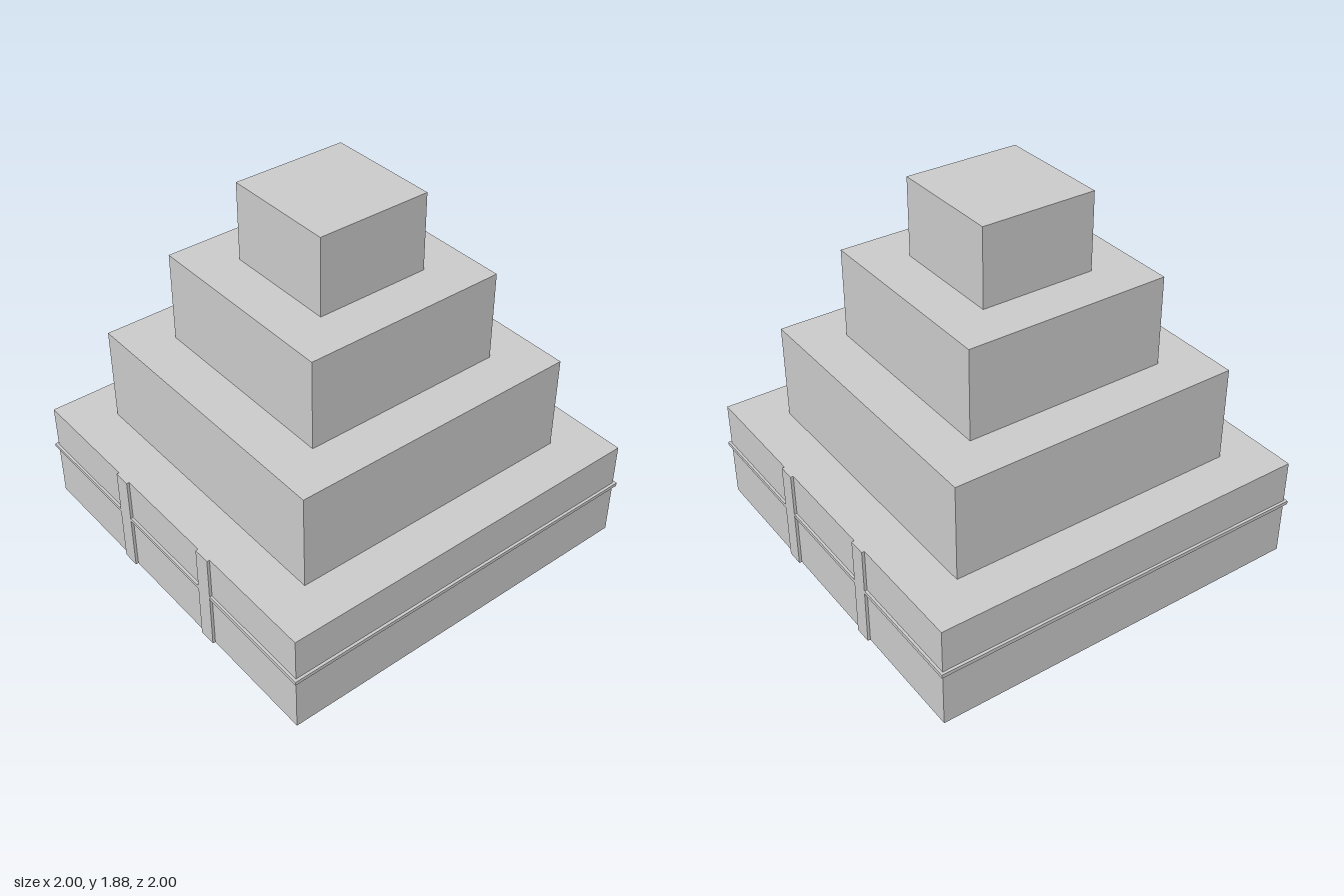
import * as THREE from 'three';

export function createModel() {
  const model = new THREE.Group();
  const material = new THREE.MeshStandardMaterial({ color: 0xcccccc });

  // Box standing between two heights, centred on (x, z)
  function block(name, width, depth, bottom, top, x = 0, z = 0) {
    const mesh = new THREE.Mesh(new THREE.BoxGeometry(width, top - bottom, depth), material);
    mesh.name = name;
    mesh.position.set(x, (bottom + top) / 2, z);
    model.add(mesh);
  }

  // Four stacked square tiers: half width, bottom, top
  const tiers = [
    ['baseTier', 0.986, 0, 0.527],
    ['secondTier', 0.756, 0.527, 1.021],
    ['thirdTier', 0.525, 1.021, 1.481],
    ['topTier', 0.295, 1.481, 1.877],
  ];
  for (const [name, half, bottom, top] of tiers) block(name, half * 2, half * 2, bottom, top);

  // Thin moulding wrapped around the base tier
  block('baseMoulding', 2, 1.998, 0.285, 0.304);

  // Paired pilasters on the front and back of the base tier
  for (const [face, sz] of [['front', 1], ['back', -1]]) {
    for (const [side, sx] of [['Left', 1], ['Right', -1]]) {
      block(`${face}${side}Pilaster`, 0.088, 0.04, 0, 0.527, sx * 0.328, sz * 0.98);
    }
  }

  return model;
}
